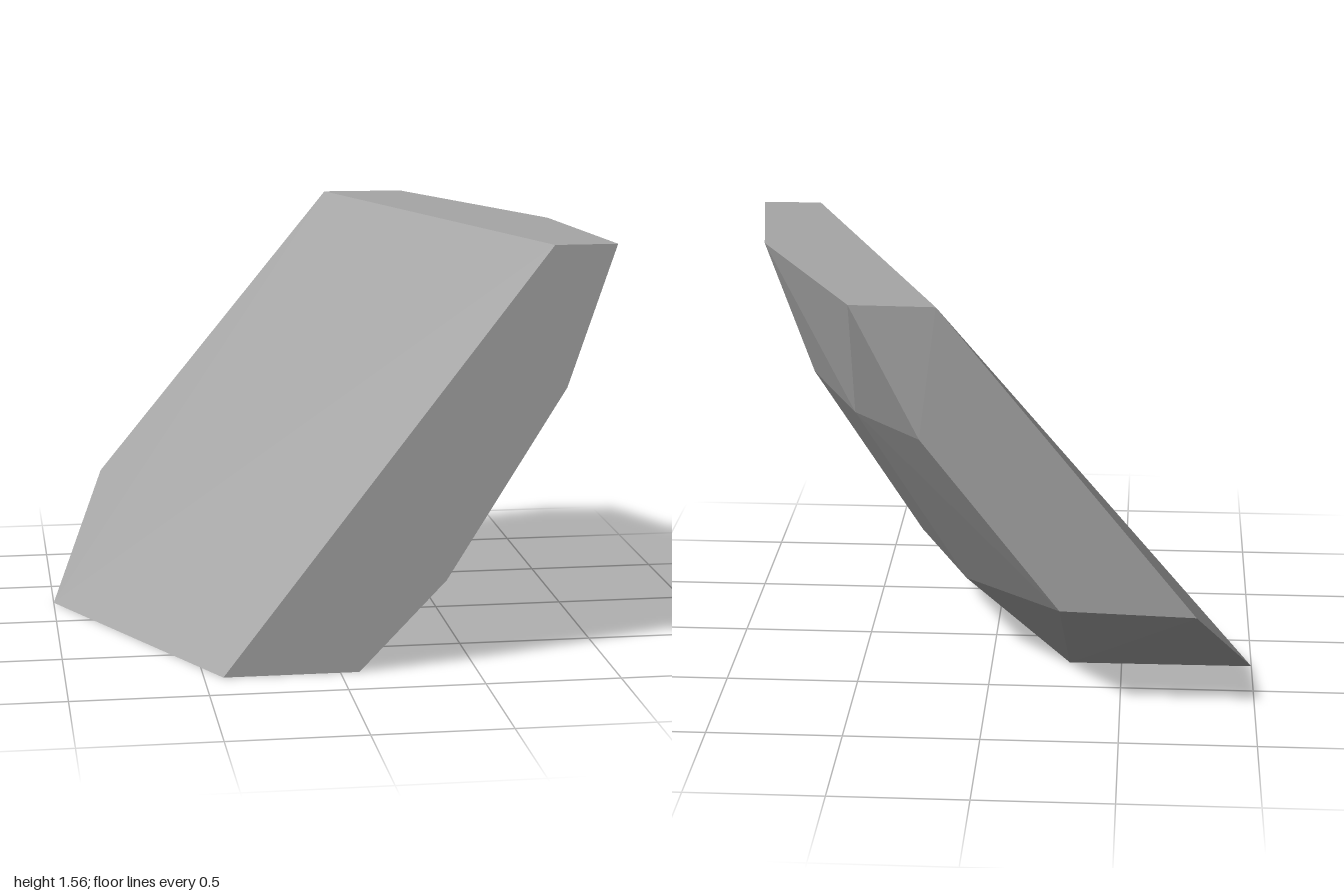
import * as THREE from 'three';
import { ConvexGeometry } from 'three/addons/geometries/ConvexGeometry.js';

export function createModel() {
  const group = new THREE.Group();
  group.name = 'rock';
  const stone = new THREE.MeshStandardMaterial({ color: 0xa6a6a6 });
  stone.name = 'grey stone';

  // Bulging side: rows from base to top, each running front to back
  const bulge = [
    [[0.07, 0, 0.8], [-0.02, 0, 0.3], [-0.3, 0, -0.265]],
    [[0.39, 0.335, 0.8], [0.314, 0.35, 0.25], [0.104, 0.32, -0.21], [-0.277, 0.425, -0.8]],
    [[0.825, 1.04, 0.8], [0.723, 1.035, 0.145], [0.494, 1.065, -0.47], [0.229, 1.07, -0.8]],
    [[1, 1.56, 0.8], [0.9, 1.56, 0.1], [0.478, 1.56, -0.788]],
  ];
  // Leaning flat side: corners at base and top
  const slope = [
    [-0.43, 0, 0.8], [-1, 0, -0.26], [-0.775, 0.41, -0.8],
    [0.165, 1.56, -0.8], [0.77, 1.56, 0.8],
  ];

  // Faceted boulder wrapped around both sides
  const points = [...bulge.flat(), ...slope].map((p) => new THREE.Vector3(...p));
  const boulder = new THREE.Mesh(new ConvexGeometry(points), stone);
  boulder.name = 'boulder';
  group.add(boulder);
  return group;
}
